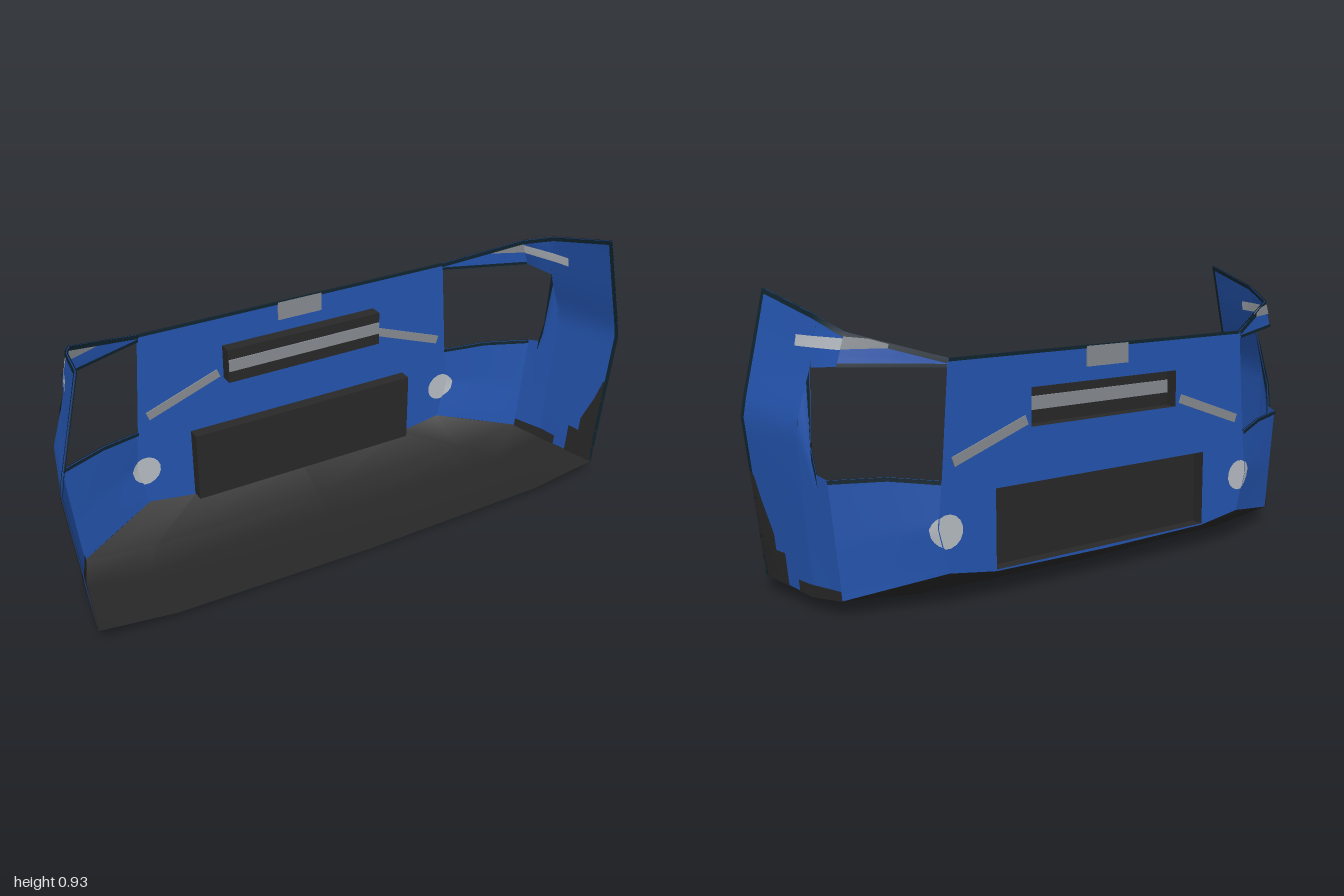
import * as THREE from 'three';

const paint = (name, color) => new THREE.MeshStandardMaterial({ name, color, side: THREE.DoubleSide });

// Piecewise-linear lookup through [key, value] pairs
const curve = pts => t => {
  if (t <= pts[0][0]) return pts[0][1];
  for (let i = 1; i < pts.length; i++) {
    const [a, va] = pts[i - 1], [b, vb] = pts[i];
    if (t <= b) return va + (vb - va) * (t - a) / (b - a);
  }
  return pts[pts.length - 1][1];
};

// Half-width by height at each crease of the wrap-around skin
const CREASES = [
  [-0.24, curve([[0.11, 0.585], [0.25, 0.62], [0.39, 0.605], [0.715, 0.58], [0.74, 0.575]])],
  [-0.115, curve([[0.05, 0.865], [0.41, 0.9], [0.56, 0.9], [0.725, 0.86], [0.82, 0.83]])],
  [0, curve([[0.04, 0.905], [0.42, 0.935], [0.56, 0.945], [0.715, 0.895], [0.865, 0.87]])],
  [0.24, curve([[0.055, 0.945], [0.56, 1], [0.925, 0.915]])],
];
const skinX = (z, y) => curve(CREASES.map(([cz, fx]) => [cz, fx(y)]))(z);
const FRONT = -0.24;

// Outline of the side skin and of the lamp opening, as heights along z
const bottom = curve([[-0.24, 0.11], [-0.115, 0.05], [0, 0.04], [0.24, 0.055]]);
const top = curve([[-0.24, 0.74], [-0.115, 0.82], [0, 0.865], [0.24, 0.925]]);
const holeLow = curve([[-0.24, 0.39], [-0.18, 0.41], [-0.115, 0.41], [-0.075, 0.42], [-0.06, 0.5], [-0.015, 0.715]]);
const holeHigh = curve([[-0.24, 0.715], [-0.115, 0.725], [-0.015, 0.715]]);

// Sheet lying on the side skin between two height curves
function patch(side, zs, low, high, offsets = [0], rows = 14) {
  const pos = [], idx = [];
  for (const o of offsets) {
    const base = pos.length / 3;
    for (const z of zs) for (let j = 0; j <= rows; j++) {
      const y = low(z) + (high(z) - low(z)) * j / rows;
      pos.push(side * (skinX(z, y) + o * 0.7), y, z - o * 0.7);
    }
    for (let i = 0; i < zs.length - 1; i++) for (let j = 0; j < rows; j++) {
      const a = base + i * (rows + 1) + j, b = a + rows + 1;
      idx.push(a, a + 1, b, b, a + 1, b + 1);
    }
  }
  const g = new THREE.BufferGeometry();
  g.setAttribute('position', new THREE.Float32BufferAttribute(pos, 3));
  g.setIndex(idx);
  g.computeVertexNormals();
  return g;
}
const BOTH = [0.004, -0.004];

export function createModel() {
  const blue = paint('blue paint', 0x2454ae);
  const black = paint('black plastic', 0x282828);
  const edge = paint('dark edge', 0x10242f);
  const silver = paint('silver lamp', 0xb6bcc3);
  const grey = paint('grey trim', 0x868b91);

  const model = new THREE.Group();
  model.name = 'bumper';
  const add = (name, geo, mat, x = 0, y = 0, z = 0) => {
    const m = new THREE.Mesh(geo, mat);
    m.name = name;
    m.position.set(x, y, z);
    model.add(m);
    return m;
  };
  const rect = (w, y0, y1) => [[-w, y0], [w, y0], [w, y1], [-w, y1]].map(p => new THREE.Vector2(...p));

  // Flat centre panel with two grille openings
  const half = [[0, 0.08], [0.42, 0.085]];
  for (const y of [0.11, 0.25, 0.39, 0.715, 0.74]) half.push([skinX(FRONT, y), y]);
  const outline = [...half, ...half.slice(1).reverse().map(([x, y]) => [-x, y])];
  const panel = new THREE.Shape(outline.map(p => new THREE.Vector2(...p)));
  const grilles = [['lowerGrille', 0.42, 0.09, 0.34], ['upperGrille', 0.29, 0.51, 0.63]];
  for (const [, w, y0, y1] of grilles) panel.holes.push(new THREE.Path(rect(w, y0, y1)));
  add('centrePanel', new THREE.ShapeGeometry(panel), blue, 0, 0, FRONT);

  // Recessed grille trays, open to the outside
  for (const [name, w, y0, y1] of grilles) {
    const tray = new THREE.BoxGeometry(w * 2, y1 - y0, 0.043);
    tray.setIndex([...tray.index.array].slice(0, 30));
    tray.clearGroups();
    add(name, tray, black, 0, (y0 + y1) / 2, FRONT + 0.0215);
  }
  add('grilleBar', new THREE.BoxGeometry(0.576, 0.042, 0.008), grey, 0, 0.573, -0.197);
  add('badgePlate', new THREE.BoxGeometry(0.165, 0.064, 0.008), grey, 0, 0.706, FRONT);
  add('topEdge', new THREE.BoxGeometry(1.15, 0.01, 0.006), edge, 0, 0.736, FRONT);

  // Undertray built from cross-sections running backwards
  const sections = [
    [-0.24, [0.585, 0.11], [0.42, 0.085], [0, 0.08]],
    [-0.115, [0.865, 0.05], [0.62, 0.02], [0, 0.01]],
    [0, [0.905, 0.04], [0.69, 0], [0, 0]],
    [0.24, [0.945, 0.055], [0.69, 0.02], [0, 0.008]],
  ];
  const pos = [], idx = [];
  sections.forEach(([z, a, b, c], i) => {
    for (const [x, y] of [[-a[0], a[1]], [-b[0], b[1]], c, b, a]) pos.push(x, y, z);
    if (i) for (let j = 0; j < 4; j++) {
      const p = (i - 1) * 5 + j, q = p + 5;
      idx.push(p, q, p + 1, p + 1, q, q + 1);
    }
  });
  const floor = new THREE.BufferGeometry();
  floor.setAttribute('position', new THREE.Float32BufferAttribute(pos, 3));
  floor.setIndex(idx);
  floor.computeVertexNormals();
  add('undertray', floor, black);

  for (const s of [1, -1]) {
    const tag = s > 0 ? 'left' : 'right';
    const skin = (name, zs, low, high) => add(tag + name, patch(s, zs, low, high), blue);
    const plate = (name, mat, zs, low, high, rows) => add(tag + name, patch(s, zs, low, high, BOTH, rows), mat);

    // Corner and side skin around the lamp opening
    const corner = [-0.24, -0.18, -0.115], side = [-0.115, -0.075, -0.06, -0.015];
    skin('CornerLower', corner, bottom, holeLow);
    skin('CornerUpper', corner, holeHigh, top);
    skin('SideLower', side, bottom, holeLow);
    skin('SideUpper', side, holeHigh, top);
    skin('SideRear', [-0.015, 0, 0.24], bottom, top);

    // Dark edging along the rim and lamp opening
    plate('RimEdge', edge, [-0.24, -0.115, 0, 0.24], z => top(z) - 0.014, top, 2);
    plate('RearEdge', edge, [0.226, 0.24], bottom, top);
    plate('LampLowerEdge', edge, corner, z => holeLow(z) - 0.012, holeLow, 2);
    plate('LampUpperEdge', edge, corner, holeHigh, z => holeHigh(z) + 0.01, 2);
    plate('LampRearEdge', edge, [-0.075, -0.06, -0.015], z => holeLow(z) - 0.04, holeLow, 4);

    // Black lower side areas
    plate('RearBlack', black, [0.115, 0.16], bottom, () => 0.15);
    plate('RearBlackTail', black, [0.16, 0.18, 0.2, 0.22, 0.24], bottom,
      curve([[0.16, 0.2], [0.18, 0.25], [0.2, 0.3], [0.22, 0.37], [0.24, 0.39]]));
    plate('SillBlack', black, [-0.115, 0, 0.06], bottom, () => 0.08, 3);

    // Side marker strip wrapping the corner
    plate('Marker', silver, [-0.115, 0, 0.058], () => 0.771, () => 0.803, 3);
    plate('MarkerCorner', grey, [-0.17, -0.145, -0.115], () => 0.773, z => Math.min(0.808, top(z)), 3);

    // Round fog lamp folded over the corner crease
    const cx = 0.59, cy = 0.237, r = 0.052, pts = [];
    for (let i = 0; i < 16; i++) {
      const a = (i + 0.5) * Math.PI / 8, y = cy + r * Math.sin(a);
      pts.push(new THREE.Vector2(s * Math.min(cx + r * Math.cos(a), skinX(FRONT, y)), y));
    }
    const lamp = new THREE.ShapeGeometry(new THREE.Shape(pts));
    for (const o of BOTH) add(tag + 'FogLamp', lamp, silver, 0, 0, FRONT + o);
    const rise = z => Math.sqrt(Math.max(0, r * r - (skinX(z, cy) - cx) ** 2));
    plate('FogLampCorner', silver, [-0.24, -0.236, -0.232, -0.229], z => cy - rise(z), z => cy + rise(z), 3);

    // Slanted trim beside the upper grille
    const strip = add(tag + 'SlantTrim', new THREE.BoxGeometry(0.275, 0.03, 0.008), grey, s * 0.438, 0.487, FRONT);
    strip.rotation.z = -s * 0.35;
  }
  return model;
}
